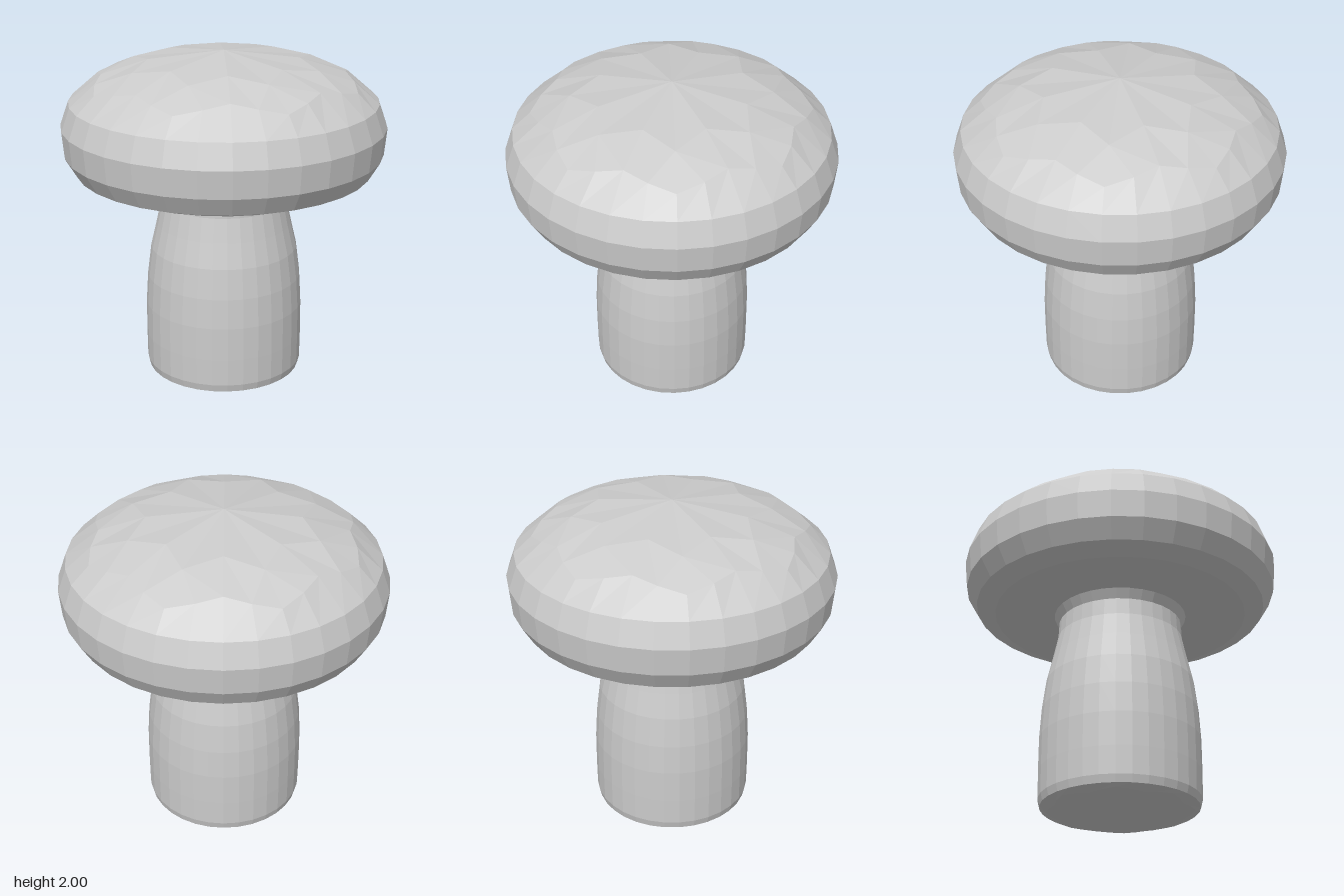
import * as THREE from 'three';

const SEGMENTS = 32;
const material = new THREE.MeshStandardMaterial({ color: 0xcccccc, flatShading: true });

function mesh(name, geometry) {
  const m = new THREE.Mesh(geometry, material);
  m.name = name;
  return m;
}

// Faceted turned body, profile listed from bottom to top as [radius, y].
function turned(name, profile) {
  const points = profile.map(([r, y]) => new THREE.Vector2(r, y));
  return mesh(name, new THREE.LatheGeometry(points, SEGMENTS));
}

// Eight-petalled end surface: a star of kites round the centre, then a wavy ring
// of 32 points, then a band to the round rim. Each entry is [radius, y].
function petalDisc(name, { centre, spoke, face, wave, rim }) {
  const positions = [];
  const at = ([r, y], step) => {
    const a = (step / SEGMENTS) * Math.PI * 2;
    return [r * Math.sin(a), y, r * Math.cos(a)];
  };
  const quad = (a, b, c, d) => positions.push(...a, ...b, ...c, ...a, ...c, ...d);
  // wave holds the petal tip, the point beside it and the valley between petals
  const ring = (step) => at(wave[[0, 1, 2, 1][((step % 4) + 4) % 4]], step);

  for (let k = 0; k < SEGMENTS; k += 4) {
    const c = at(centre, 0), f = at(face, k);
    const s0 = at(spoke, k - 2), s1 = at(spoke, k + 2);
    quad(c, s0, f, s1);
    quad(s0, ring(k - 2), ring(k - 1), f);
    quad(f, ring(k - 1), ring(k), ring(k + 1));
    quad(f, ring(k + 1), ring(k + 2), s1);
    for (let j = k - 2; j < k + 2; j++) {
      quad(at(rim, j), at(rim, j + 1), ring(j + 1), ring(j));
    }
  }
  const geometry = new THREE.BufferGeometry();
  geometry.setAttribute('position', new THREE.Float32BufferAttribute(positions, 3));
  geometry.computeVertexNormals();
  return mesh(name, geometry);
}

export function createModel() {
  const model = new THREE.Group();
  model.name = 'mushroom';

  // Cap: flat underside and rounded side, closed by the faceted crown
  const cap = new THREE.Group();
  cap.name = 'cap';
  cap.add(turned('capSide', [
    [0, 1.255], [0.42, 1.255], [0.6, 1.255], [0.76, 1.255], [0.875, 1.3],
    [0.94, 1.41], [0.955, 1.57], [0.905, 1.71],
  ]));
  cap.add(petalDisc('capCrown', {
    centre: [0, 2], spoke: [0.44, 1.95], face: [0.57, 1.92],
    wave: [[0.8, 1.81], [0.755, 1.84], [0.71, 1.865]],
    rim: [0.905, 1.71],
  }));

  // Stem: bulging below, narrow neck, small flare where it meets the cap
  const stem = new THREE.Group();
  stem.name = 'stem';
  stem.add(turned('stemSide', [
    [0.462, 0.04], [0.473, 0.085], [0.475, 0.25], [0.474, 0.45], [0.463, 0.63],
    [0.44, 0.81], [0.405, 0.96], [0.375, 1.1], [0.37, 1.2], [0.4, 1.256],
  ]));
  const base = petalDisc('stemBase', {
    centre: [0, 0], spoke: [0.23, -0.006], face: [0.3, -0.01],
    wave: [[0.43, -0.025], [0.41, -0.022], [0.39, -0.018]],
    rim: [0.462, -0.04],
  });
  base.rotation.x = Math.PI;
  stem.add(base);

  model.add(cap, stem);
  return model;
}
